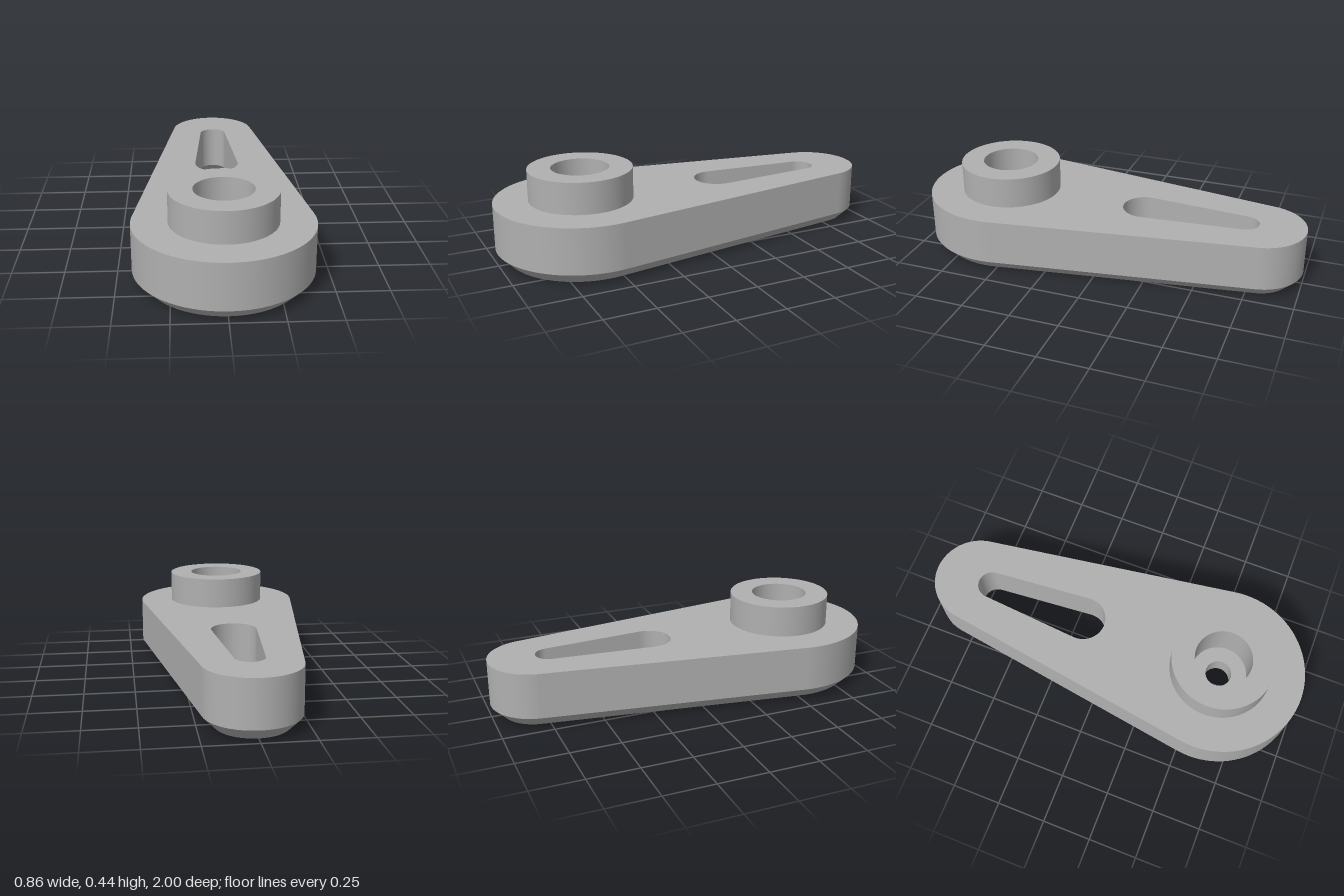
import * as THREE from 'three';

const U = 1 / 35;       // one design unit
const ARC = 48;         // segments on each end arc

// Teardrop outline: two end arcs joined by tangent lines (a circle when both ends coincide)
function outline(zA, rA, zB, rB, grow = 0) {
  const a = zA === zB ? 0 : Math.asin((rA - rB) / (zA - zB));
  const pts = [];
  const arc = (zc, r, t0, t1) => {
    for (let i = 0; i <= ARC; i++) {
      const t = t0 + (t1 - t0) * i / ARC;
      pts.push({ x: Math.cos(t) * (r + grow), z: zc + Math.sin(t) * (r + grow), c: Math.cos(t), s: Math.sin(t) });
    }
  };
  arc(zA, rA, -a, Math.PI + a);
  arc(zB, rB, Math.PI + a, 2 * Math.PI - a);
  pts.push(pts[0]);
  return pts;
}

// Smooth wall between a lower and an upper outline; taper = lower radius minus upper radius
function wall(low, y0, high, y1, taper = 0, inward = false) {
  const pos = [], nor = [], idx = [];
  const sign = inward ? -1 : 1, h = y1 - y0, len = Math.hypot(h, taper) * sign;
  low.forEach((p, i) => {
    const q = high[i];
    pos.push(p.x, y0, p.z, q.x, y1, q.z);
    for (let k = 0; k < 2; k++) nor.push(p.c * h / len, taper / len, p.s * h / len);
    if (i === low.length - 1) return;
    const a = 2 * i, b = a + 1, c = a + 2, d = a + 3;
    if (inward) idx.push(a, c, b, b, c, d);
    else idx.push(a, b, c, b, d, c);
  });
  const g = new THREE.BufferGeometry();
  g.setAttribute('position', new THREE.Float32BufferAttribute(pos, 3));
  g.setAttribute('normal', new THREE.Float32BufferAttribute(nor, 3));
  g.setIndex(idx);
  return g;
}

// Flat face with holes, looking up or down
function cap(outer, holes, y, up) {
  const s = up ? -1 : 1;
  const flat = ring => ring.slice(0, -1).map(p => new THREE.Vector2(p.x, p.z * s));
  const shape = new THREE.Shape(flat(outer));
  shape.holes = holes.map(r => new THREE.Path(flat(r)));
  return new THREE.ShapeGeometry(shape).rotateX(s * Math.PI / 2).translate(0, y, 0);
}

export function createModel() {
  const grey = new THREE.MeshStandardMaterial({ color: 0xb0b0b0 });
  grey.name = 'grey';
  const model = new THREE.Group();
  model.name = 'leverArm';
  const part = name => {
    const g = new THREE.Group();
    g.name = name;
    model.add(g);
    return (meshName, geometry) => {
      const m = new THREE.Mesh(geometry, grey);
      m.name = meshName;
      g.add(m);
    };
  };

  const top = 10 * U, bevel = 2 * U, bossTop = 15.5 * U;
  const shelfLow = 3 * U, shelfHigh = 7 * U;
  const zBig = 20 * U, zSmall = -27 * U;
  const body = grow => outline(zBig, 15 * U, zSmall, 8 * U, grow);
  const slot = grow => outline(-6.2 * U, 4 * U, -24.3 * U, 2.5 * U, grow);
  const circle = r => outline(zBig, r * U, zBig, r * U);
  const bore = circle(5), pin = circle(2.3), bossRim = circle(9);

  // Tapered arm with a bevelled underside
  const arm = part('arm');
  arm('armSide', wall(body(0), bevel, body(0), top));
  arm('armBevel', wall(body(-bevel), 0, body(0), bevel, -bevel));
  arm('armTop', cap(body(0), [slot(0), bossRim], top, true));
  arm('armUnderside', cap(body(-bevel), [slot(bevel), bore], 0, false));

  // Tapered slot, flared at the bottom
  const slotPart = part('slot');
  slotPart('slotSide', wall(slot(0), bevel, slot(0), top, 0, true));
  slotPart('slotBevel', wall(slot(bevel), 0, slot(0), bevel, bevel, true));

  // Raised boss
  const boss = part('boss');
  boss('bossSide', wall(bossRim, top, bossRim, bossTop));
  boss('bossTop', cap(bossRim, [bore], bossTop, true));

  // Stepped hole: wide bores above and below a thin web with a pin hole
  const hole = part('steppedHole');
  hole('upperBore', wall(bore, shelfHigh, bore, bossTop, 0, true));
  hole('upperShelf', cap(bore, [pin], shelfHigh, true));
  hole('pinHole', wall(pin, shelfLow, pin, shelfHigh, 0, true));
  hole('lowerShelf', cap(bore, [pin], shelfLow, false));
  hole('lowerBore', wall(bore, 0, bore, shelfLow, 0, true));

  return model;
}
